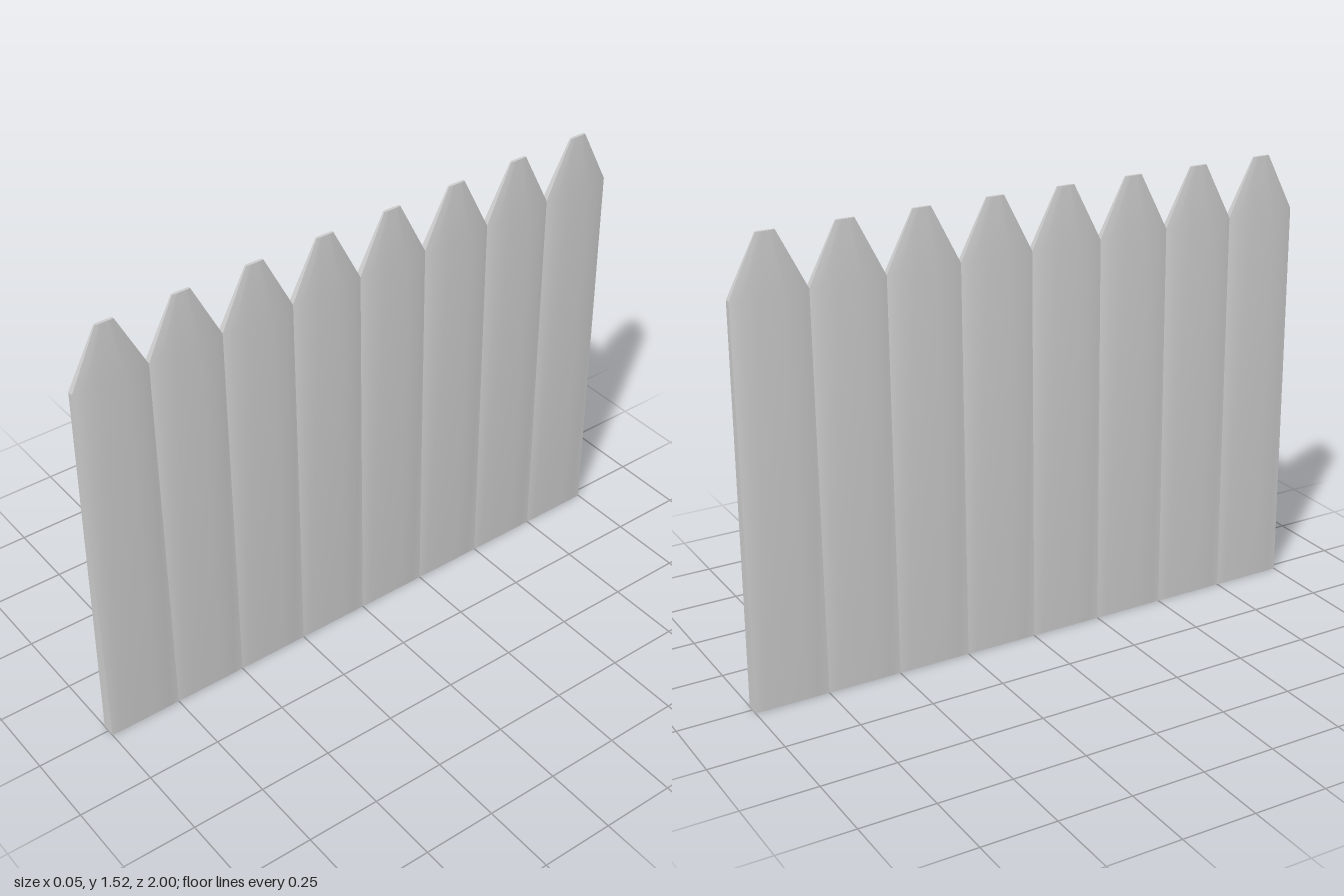
import * as THREE from 'three';
import { toCreasedNormals } from 'three/addons/utils/BufferGeometryUtils.js';

const PLANKS = 8, WIDTH = 0.25;

// Cross-section levels: height, half width (z), half thickness at the middle, chamfer line and edge
const LEVELS = [
  { y: 0, w: 0.125, mid: 0.025, bevel: 0.025, edge: 0.024 },
  { y: 1.33, w: 0.125, mid: 0.025, bevel: 0.021, edge: 0.01 },
  { y: 1.52, w: 0.03, mid: 0.005, bevel: 0.0045, edge: 0.003 },
];

// Closed outline: one broad face, then the same turned by 180 degrees
function ring({ y, w, mid, bevel, edge }) {
  const half = [[edge, 1], [bevel, 0.74], [mid, 0.32], [mid, -0.32], [bevel, -0.74], [edge, -1]];
  return [1, -1].flatMap((s) => half.map(([x, z]) => [s * x, y, s * z * w]));
}

// Pointed plank with bevelled long edges that fade out towards the ground
function plankGeometry() {
  const rings = LEVELS.map(ring);
  const n = rings[0].length;
  const positions = rings.flat(2);
  const index = [];
  for (let r = 0; r < rings.length - 1; r++) {
    for (let i = 0; i < n; i++) {
      const j = (i + 1) % n;
      const a = r * n + i, b = r * n + j;
      index.push(a, b, b + n, a, b + n, a + n);
    }
  }
  // flat caps at the foot and the tip
  const top = (rings.length - 1) * n;
  for (let i = 1; i < n - 1; i++) {
    index.push(0, i + 1, i);
    index.push(top, top + i, top + i + 1);
  }
  const geometry = new THREE.BufferGeometry();
  geometry.setAttribute('position', new THREE.Float32BufferAttribute(positions, 3));
  geometry.setIndex(index);
  return toCreasedNormals(geometry, THREE.MathUtils.degToRad(25));
}

export function createModel() {
  const model = new THREE.Group();
  model.name = 'palisadeFence';
  const material = new THREE.MeshStandardMaterial({ color: 0xcccccc });
  const geometry = plankGeometry();
  // row of planks standing side by side
  for (let i = 0; i < PLANKS; i++) {
    const plank = new THREE.Mesh(geometry, material);
    plank.name = `plank${i + 1}`;
    plank.position.z = (i - (PLANKS - 1) / 2) * WIDTH;
    model.add(plank);
  }
  return model;
}
